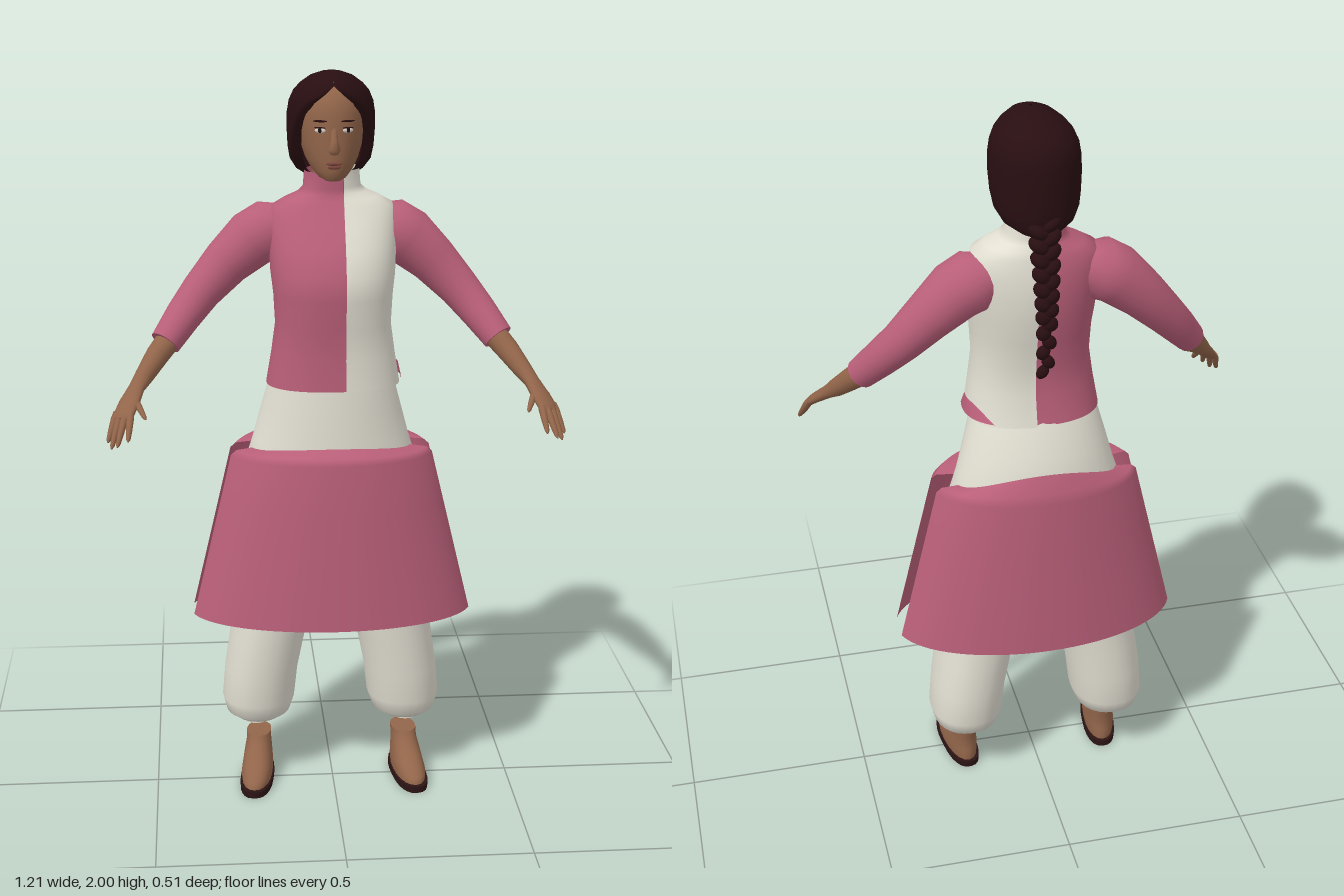
import * as THREE from 'three';

const TAU = Math.PI * 2;
const mat = (name, color, side = THREE.FrontSide) => {
  const m = new THREE.MeshStandardMaterial({ color, side });
  m.name = name;
  return m;
};

// Horizontal superellipse arc: half width w, front and back z, angle from +x towards +z
function ring([y, w, zf, zb], a0 = 0, a1 = TAU, n = 32, cx = 0, e = 2) {
  const bend = (v) => Math.sign(v) * Math.abs(v) ** (2 / e);
  const count = a1 - a0 >= TAU - 1e-6 ? n : n + 1;
  return Array.from({ length: count }, (_, i) => {
    const a = a0 + ((a1 - a0) * i) / n;
    return [cx + w * bend(Math.cos(a)), y, (zf + zb) / 2 + ((zf - zb) / 2) * bend(Math.sin(a))];
  });
}

// Skin over a stack of rings
function loft(rings, { closed = true, bottom = false, top = false } = {}) {
  const n = rings[0].length, pos = rings.flat(2), idx = [];
  for (let i = 0; i < rings.length - 1; i++) {
    for (let j = 0; j < (closed ? n : n - 1); j++) {
      const a = i * n + j, b = i * n + ((j + 1) % n);
      idx.push(a, a + n, b, b, a + n, b + n);
    }
  }
  const cap = (r, flip) => {
    const base = pos.length / 3;
    pos.push(...r.flat(), ...[0, 1, 2].map((k) => r.reduce((t, p) => t + p[k], 0) / n));
    for (let j = 0; j < n; j++) {
      const a = base + j, b = base + ((j + 1) % n);
      idx.push(...(flip ? [a, b, base + n] : [b, a, base + n]));
    }
  };
  if (bottom) cap(rings[0], true);
  if (top) cap(rings[rings.length - 1], false);
  const g = new THREE.BufferGeometry();
  g.setAttribute('position', new THREE.Float32BufferAttribute(pos, 3));
  g.setIndex(idx);
  g.computeVertexNormals();
  return g;
}

// Tapered limb along points [x, y, z, radius along axis, other radius]
function limb(points, s = 1, axis = [0, 0, 1], n = 14) {
  const P = points.map((p) => new THREE.Vector3(p[0] * s, p[1], p[2]));
  const ax = new THREE.Vector3(axis[0] * s, axis[1], axis[2]);
  return loft(points.map((p, i) => {
    const d = P[Math.min(i + 1, P.length - 1)].clone().sub(P[Math.max(i - 1, 0)]).normalize();
    const u = ax.clone().addScaledVector(d, -ax.dot(d)).normalize();
    const v = u.clone().cross(d);
    return Array.from({ length: n }, (_, j) => P[i].clone()
      .addScaledVector(u, p[3] * Math.cos((j / n) * TAU))
      .addScaledVector(v, (p[4] ?? p[3]) * Math.sin((j / n) * TAU)).toArray());
  }), { bottom: true, top: true });
}

export function createModel() {
  const model = new THREE.Group();
  const pink = mat('pink cloth', 0xb95f79, THREE.DoubleSide);
  const white = mat('off-white cloth', 0xe2dfd2, THREE.DoubleSide);
  const hairMat = mat('dark hair', 0x280e11, THREE.DoubleSide);
  const skin = mat('skin', 0x92654a), leather = mat('sole leather', 0x2c1414);
  const eyeWhite = mat('eye white', 0xd8cfc6), iris = mat('iris', 0x1c1010), lipMat = mat('lips', 0x7c473c);

  const add = (name, geo, material, parent = model) => {
    const m = new THREE.Mesh(geo, material);
    m.name = name;
    parent.add(m);
    return m;
  };
  const group = (name) => {
    const g = new THREE.Group();
    g.name = name;
    model.add(g);
    return g;
  };
  const blob = (name, material, p, scale, parent = model) => {
    const m = add(name, new THREE.SphereGeometry(1, 16, 10), material, parent);
    m.position.set(...p);
    m.scale.set(...scale);
    return m;
  };

  // Two-tone top, divided down the front and back
  const torso = [
    [1.165, 0.178, 0.095, -0.165], [1.25, 0.164, 0.09, -0.145], [1.33, 0.153, 0.095, -0.148],
    [1.41, 0.157, 0.108, -0.162], [1.47, 0.164, 0.106, -0.174], [1.54, 0.168, 0.078, -0.18],
    [1.60, 0.17, 0.04, -0.176], [1.64, 0.16, 0.018, -0.167], [1.66, 0.125, 0.006, -0.16],
    [1.675, 0.09, 0, -0.152], [1.69, 0.074, -0.002, -0.148], [1.735, 0.07, 0.002, -0.15],
  ];
  const E = 2.3, split = (x, w) => Math.acos((x / w) ** (E / 2));
  add('shirt', loft(torso.map((r) => ring(r, split(0.03, r[1]), TAU - split(0.015, r[1]), 32, 0, E)),
    { closed: false }), pink);
  const vest = torso.map(([y, w, f, b]) => [y + (y > 1.63 ? 0.006 : 0), w + 0.006, f + 0.004, b - 0.004]);
  add('vest', loft(vest.map((r) => ring(r, -split(0.015, r[1]), split(0.03, r[1]), 32, 0, E)),
    { closed: false }), white);
  // Shirt edge showing over the vest hem
  const tail = [[1.175, 0.19, 0.1, -0.175], [1.215, 0.181, 0.095, -0.165]];
  add('shirtTail', loft(tail.map((r, i) => ring(r, i ? -0.35 : -0.9, i ? 0.05 : 0.2, 12, 0, E)),
    { closed: false }), pink);

  // Trousers: hips, legs and cuffs
  const hips = [
    [0.66, 0.2, 0.05, -0.2], [0.76, 0.255, 0.07, -0.222], [0.9, 0.248, 0.075, -0.23],
    [1.0, 0.216, 0.07, -0.22], [1.08, 0.195, 0.067, -0.203], [1.18, 0.168, 0.06, -0.16],
  ];
  add('trouserHips', loft(hips.map((r) => ring(r)), { bottom: true }), white);
  const leg = [
    [0.153, 0.18, 0.25, -0.03, -0.115], [0.172, 0.18, 0.25, -0.03, -0.115],
    [0.173, 0.145, 0.275, 0.005, -0.16], [0.19, 0.118, 0.3, 0.028, -0.192],
    [0.23, 0.105, 0.31, 0.04, -0.207], [0.32, 0.095, 0.302, 0.047, -0.212],
    [0.42, 0.075, 0.287, 0.055, -0.212], [0.52, 0.052, 0.27, 0.06, -0.212],
    [0.66, 0.02, 0.255, 0.065, -0.215], [0.8, 0.01, 0.24, 0.06, -0.21],
  ];

  // Overskirt: front and back panels with open side slits, turned in at the waist
  const skirt = [
    [0.5, 0.395, 0.148, -0.262, 0], [0.66, 0.356, 0.139, -0.258, 0], [0.82, 0.317, 0.13, -0.254, 0],
    [0.96, 0.283, 0.12, -0.25, 0.15], [0.972, 0.268, 0.112, -0.246, 0.4], [0.974, 0.222, 0.074, -0.224, 1],
  ];
  for (const [name, from, lift] of [['skirtFront', 0, 0.026], ['skirtBack', Math.PI, 0.075]]) {
    const rows = skirt.map((r) => ring(r, from + 0.2, from + Math.PI - 0.2)
      .map(([x, y, z]) => [x, y + r[4] * lift * (1 - (x / r[1]) ** 2), z]));
    add(name, loft(rows, { closed: false }), pink);
  }

  // Profiles of the arms, hands and feet
  const sleeve = [
    [0.12, 1.585, -0.09, 0.06], [0.165, 1.572, -0.09, 0.082], [0.21, 1.548, -0.09, 0.079],
    [0.28, 1.485, -0.088, 0.066], [0.35, 1.41, -0.07, 0.055], [0.4, 1.35, -0.035, 0.049], [0.448, 1.288, 0.008, 0.042],
  ];
  const forearm = [
    [0.43, 1.305, -0.005, 0.034], [0.47, 1.26, 0.035, 0.031], [0.505, 1.215, 0.078, 0.025],
    [0.525, 1.19, 0.105, 0.024, 0.018], [0.543, 1.162, 0.14, 0.033, 0.015],
    [0.558, 1.136, 0.172, 0.034, 0.013], [0.563, 1.126, 0.182, 0.028, 0.008],
  ];
  const fingers = [
    [[0.54, 1.138, 0.188], [0.546, 1.085, 0.25]], [[0.555, 1.133, 0.184], [0.574, 1.07, 0.245]],
    [[0.569, 1.13, 0.172], [0.59, 1.06, 0.226]], [[0.58, 1.13, 0.158], [0.6, 1.07, 0.2]],
    [[0.53, 1.17, 0.135], [0.5, 1.135, 0.215]],
  ];
  const fingerRadii = [[-0.15, 0.008], [0.1, 0.01], [0.55, 0.0085], [0.9, 0.006], [1, 0.002]];
  const foot = [
    [0.016, 0.042, 0.125, -0.105], [0.035, 0.044, 0.12, -0.106], [0.052, 0.042, 0.085, -0.103],
    [0.075, 0.039, 0.045, -0.1], [0.1, 0.035, 0.008, -0.104], [0.124, 0.035, -0.005, -0.108],
  ];
  const sole = [[0, 0.046, 0.138, -0.115], [0.018, 0.046, 0.138, -0.115]];

  // Everything that comes in left and right pairs
  for (const [side, s] of [['left', 1], ['right', -1]]) {
    add('trouserLeg', loft(leg.map(([y, x0, x1, f, b]) =>
      ring([y, (x1 - x0) / 2, f, b], 0, TAU, 28, (s * (x0 + x1)) / 2, 2.2)), { bottom: true }), white);

    const arm = group(`${side}Arm`);
    add('sleeve', limb(sleeve, s, [0, 0, 1], 20), pink, arm);
    add('forearmAndPalm', limb(forearm, s, [0.75, -0.1, -0.65]), skin, arm);
    for (const [a, b] of fingers) {
      const path = fingerRadii.map(([t, r]) => [...a.map((v, k) => v + (b[k] - v) * t), r]);
      add('finger', limb(path, s, [0, 0, 1], 8), skin, arm);
    }

    const footGroup = group(`${side}Foot`);
    footGroup.position.x = s * 0.215;
    footGroup.rotation.y = s * 0.12;
    add('foot', loft(foot.map((r) => ring(r, 0, TAU, 20, 0, 2.2)), { top: true }), skin, footGroup);
    add('sole', loft(sole.map((r) => ring(r, 0, TAU, 24, 0, 2.5)), { bottom: true, top: true }), leather, footGroup);

    const eye = group(`${side}Eye`);
    eye.position.set(s * 0.036, 1.853, 0.053);
    eye.rotation.y = s * 0.4;
    blob('eyeWhite', eyeWhite, [0, 0, 0], [0.015, 0.0065, 0.004], eye);
    blob('iris', iris, [0, 0, 0.002], [0.006, 0.006, 0.003], eye);
    blob('upperLid', hairMat, [0, 0.007, 0.001], [0.016, 0.002, 0.004], eye);
    blob('brow', hairMat, [0, 0.024, 0.001], [0.02, 0.0028, 0.004], eye);
  }

  // Neck and head
  const neck = [[1.66, 0.056, -0.02, -0.13], [1.71, 0.05, -0.01, -0.125], [1.79, 0.05, 0, -0.125]];
  add('neck', loft(neck.map((r) => ring(r))), skin);
  const head = [
    [1.72, 0.018, 0.045, 0.01], [1.727, 0.036, 0.053, -0.05], [1.745, 0.053, 0.06, -0.1],
    [1.775, 0.07, 0.063, -0.14], [1.81, 0.081, 0.063, -0.16], [1.85, 0.088, 0.063, -0.17],
    [1.89, 0.092, 0.062, -0.17], [1.925, 0.088, 0.054, -0.16], [1.955, 0.07, 0.034, -0.13], [1.975, 0.03, 0, -0.08],
  ];
  add('head', loft(head.map((r) => ring(r)), { bottom: true, top: true }), skin);
  const nose = [[0, 1.86, 0.054, 0.008], [0, 1.825, 0.066, 0.01], [0, 1.805, 0.07, 0.016, 0.013], [0, 1.795, 0.064, 0.012, 0.008]];
  add('nose', limb(nose, 1, [1, 0, 0], 10), skin);
  blob('upperLip', lipMat, [0, 1.768, 0.063], [0.021, 0.005, 0.0049]);
  blob('lowerLip', lipMat, [0, 1.759, 0.062], [0.017, 0.006, 0.0049]);

  // Hair shell, open at the face; the last value is the z of its front edge
  const hair = [
    [1.712, 0.055, -0.06, -0.178, -0.1], [1.735, 0.09, -0.03, -0.184, -0.075], [1.765, 0.108, 0.02, -0.188, -0.04],
    [1.8, 0.114, 0.045, -0.19, -0.03], [1.85, 0.117, 0.06, -0.191, -0.002], [1.89, 0.116, 0.067, -0.19, 0.022],
    [1.92, 0.111, 0.068, -0.186, 0.043], [1.945, 0.1, 0.066, -0.172, 0.061], [1.965, 0.083, 0.056, -0.15, 1],
    [1.985, 0.056, 0.035, -0.11, 1], [1.996, 0.027, 0.008, -0.065, 1], [2, 0.004, -0.02, -0.03, 1],
  ];
  const tuck = ([x, y, z]) => [x * 0.76, y, z - 0.004];
  add('hair', loft(hair.map((r) => {
    const mid = (r[2] + r[3]) / 2, open = Math.asin(Math.min(0.99999, (r[4] - mid) / (r[2] - mid)));
    const pts = ring(r, Math.PI - open, TAU + open, 36);
    return [tuck(pts[0]), ...pts, tuck(pts[36])];
  }), { closed: false }), hairMat);

  // Braid of alternating lobes down the back
  const braidPath = new THREE.CatmullRomCurve3([[1.745, -0.165], [1.66, -0.185], [1.57, -0.2], [1.48, -0.203], [1.34, -0.186]]
    .map(([y, z]) => new THREE.Vector3(0, y, z)));
  for (let i = 0; i < 20; i++) {
    const t = i / 19, p = braidPath.getPoint(t), s = i % 2 ? 1 : -1, r = 0.036 - 0.02 * t;
    blob('braidLobe', hairMat, [s * r * 0.4, p.y, p.z], [r * 0.95, 0.021, r * 0.85]).rotation.z = s * 0.6;
  }
  return model;
}
